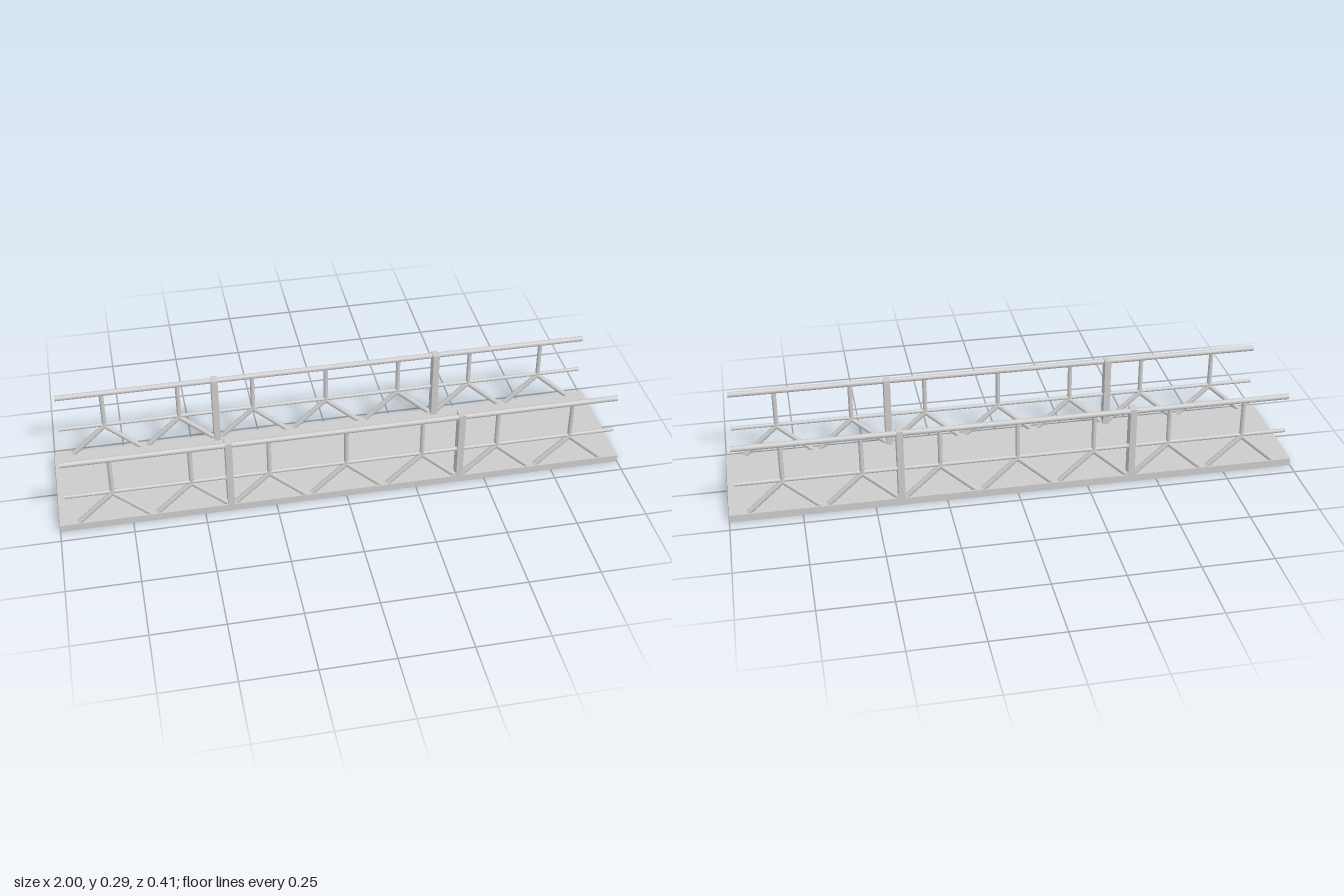
import * as THREE from 'three';

const material = new THREE.MeshStandardMaterial({ color: 0xcccccc });
const HALF_WIDTH = 0.2025, DECK_TOP = 0.027, RAIL_Z = 0.19;
const TOP_RAIL_Y = 0.28, MID_RAIL_Y = 0.142;

function box(parent, name, size, position) {
  const mesh = new THREE.Mesh(new THREE.BoxGeometry(...size), material);
  mesh.name = name;
  mesh.position.set(...position);
  parent.add(mesh);
}

// Round bar between two points in the plane of a railing
function bar(parent, name, radius, x0, y0, x1, y1) {
  const a = new THREE.Vector3(x0, y0, 0), b = new THREE.Vector3(x1, y1, 0);
  const dir = b.clone().sub(a);
  const mesh = new THREE.Mesh(new THREE.CylinderGeometry(radius, radius, dir.length(), 16), material);
  mesh.name = name;
  mesh.position.copy(a).add(b).multiplyScalar(0.5);
  mesh.quaternion.setFromUnitVectors(new THREE.Vector3(0, 1, 0), dir.normalize());
  parent.add(mesh);
}

function createRailing(side) {
  const railing = new THREE.Group();
  railing.name = side > 0 ? 'frontRailing' : 'backRailing';
  railing.position.z = side * RAIL_Z;

  // Long handrails
  bar(railing, 'topRail', 0.01, -0.972, TOP_RAIL_Y, 0.972, TOP_RAIL_Y);
  bar(railing, 'middleRail', 0.007, -0.972, MID_RAIL_Y, 0.972, MID_RAIL_Y);

  // Upright with two splayed braces, repeated along the span
  for (let i = -3; i <= 3; i++) {
    const x = i * 0.27;
    bar(railing, 'upright', 0.008, x, 0.13, x, TOP_RAIL_Y);
    for (const s of [-1, 1]) bar(railing, 'brace', 0.009, x, 0.136, x + s * 0.122, 0.026);
  }

  // Square posts, flush with the deck edge
  for (const x of [-0.408, 0.408]) {
    box(railing, 'post', [0.023, 0.291 - 0.01, 0.038], [x, (0.291 + 0.01) / 2, side * (0.1835 - RAIL_Z)]);
  }
  return railing;
}

export function createModel() {
  const model = new THREE.Group();
  model.name = 'footbridge';
  box(model, 'deck', [2, DECK_TOP, HALF_WIDTH * 2], [0, DECK_TOP / 2, 0]);
  for (const side of [-1, 1]) model.add(createRailing(side));
  return model;
}
